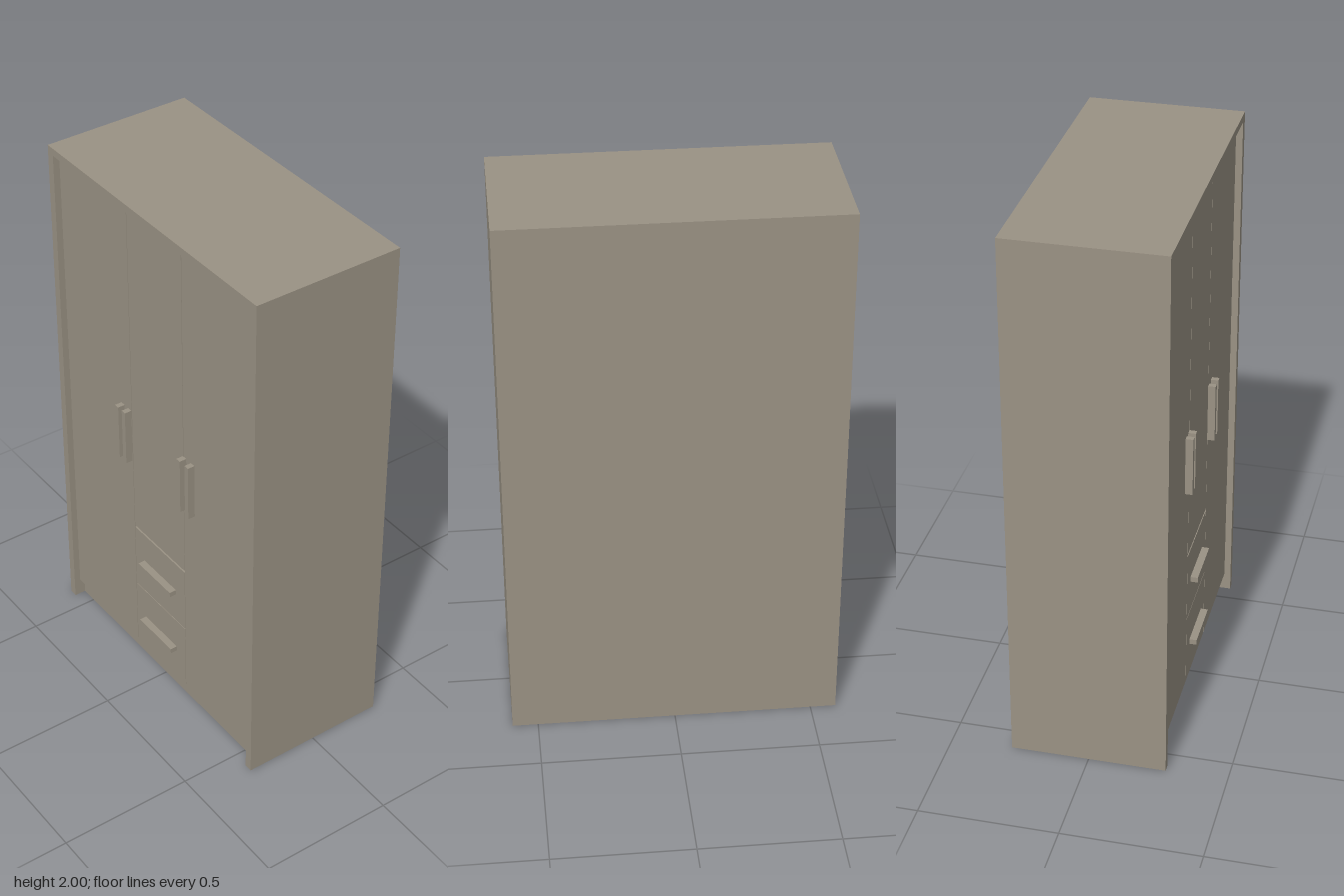
import * as THREE from 'three';

export function createModel() {
  const group = new THREE.Group();
  const wood = new THREE.MeshStandardMaterial({ color: 0x9a9284 });
  wood.name = 'greyBeige';

  // Box given by its minimum and maximum on each axis
  function board(name, [x0, x1], [y0, y1], [z0, z1]) {
    const mesh = new THREE.Mesh(new THREE.BoxGeometry(x1 - x0, y1 - y0, z1 - z0), wood);
    mesh.position.set((x0 + x1) / 2, (y0 + y1) / 2, (z0 + z1) / 2);
    mesh.name = name;
    group.add(mesh);
  }

  const W = 0.593, IN = 0.563;       // outer and inner half width
  const BACK = -0.281, FRONT = 0.279;
  const DOOR = [0.235, 0.255];       // door depth range
  const HANDLE = [0.255, 0.282];
  const SPLIT = 0.157, GAP = 0.0015;

  // Carcass
  board('topPanel', [-W, W], [1.972, 2], [BACK, FRONT]);
  board('backPanel', [-IN, IN], [0, 1.972], [BACK, BACK + 0.02]);
  board('floorPanel', [-IN, IN], [0.045, 0.065], [BACK + 0.02, 0.215]);
  board('plinth', [-IN, IN], [0, 0.066], [0.215, 0.235]);
  board('drawerShelf', [-SPLIT, SPLIT], [0.595, 0.615], [BACK + 0.02, 0.233]);

  for (const [side, s] of [['left', 1], ['right', -1]]) {
    const span = (a, b) => (s > 0 ? [a, b] : [-b, -a]);
    board(side + 'SidePanel', span(IN, W), [0, 1.972], [BACK, FRONT]);
    board(side + 'Divider', span(SPLIT - 0.01, SPLIT + 0.01), [0.065, 1.972], [BACK + 0.02, 0.234]);
    // Tall door with its handle, and the matching handle on the middle door
    board(side + 'Door', span(SPLIT + GAP, IN - 0.001), [0.068, 1.97], DOOR);
    board(side + 'DoorHandle', span(0.202, 0.222), [0.915, 1.135], HANDLE);
  }
  board('middleDoor', [-SPLIT + GAP, SPLIT - GAP], [0.621, 1.97], DOOR);
  board('middleDoorLeftHandle', [0.154, 0.174], [0.915, 1.135], HANDLE);
  board('middleDoorRightHandle', [-0.18, -0.16], [0.915, 1.135], HANDLE);

  // Drawers
  for (const [name, y0, y1, h] of [['lower', 0.068, 0.342, 0.206], ['upper', 0.345, 0.612, 0.48]]) {
    board(name + 'Drawer', [-SPLIT + GAP, SPLIT - GAP], [y0, y1], DOOR);
    board(name + 'DrawerHandle', [-0.1, 0.1], [h - 0.01, h + 0.01], HANDLE);
  }
  return group;
}
